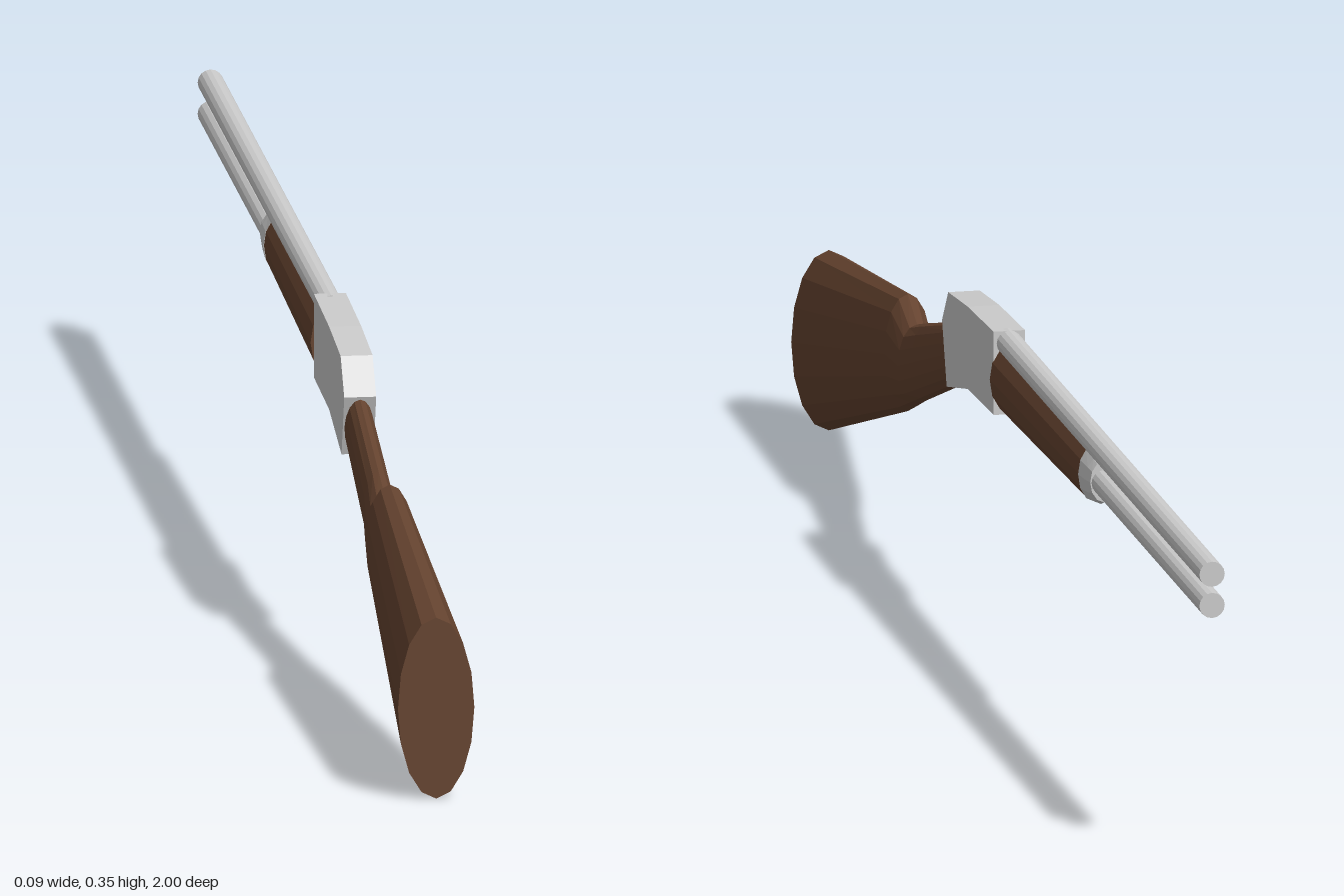
import * as THREE from 'three';

const metal = new THREE.MeshStandardMaterial({ color: 0xcccccc, flatShading: true });
const wood = new THREE.MeshStandardMaterial({ color: 0x65432f, flatShading: true });

// Elliptical loft along z; sections run rear to muzzle as [z, bottom, top, halfWidth]
function loft(sections, sides) {
  const pos = [], idx = [];
  for (const [z, y0, y1, w] of sections) {
    for (let k = 0; k < sides; k++) {
      const a = (k / sides) * Math.PI * 2;
      pos.push(Math.cos(a) * w, (y0 + y1) / 2 + Math.sin(a) * (y1 - y0) / 2, z);
    }
  }
  const last = (sections.length - 1) * sides;
  for (let k = 0; k < sides; k++) {
    const n = (k + 1) % sides;
    for (let o = 0; o < last; o += sides) {
      const a = o + k, b = o + n, c = a + sides, d = b + sides;
      idx.push(a, c, b, b, c, d);
    }
    // End caps as fans
    if (k > 0 && k < sides - 1) idx.push(0, k, n, last, last + n, last + k);
  }
  const g = new THREE.BufferGeometry();
  g.setAttribute('position', new THREE.Float32BufferAttribute(pos, 3));
  g.setIndex(idx);
  g.computeVertexNormals();
  return g;
}

export function createModel() {
  const group = new THREE.Group();
  const add = (name, geometry, material) => {
    const mesh = new THREE.Mesh(geometry, material);
    mesh.name = name;
    group.add(mesh);
  };
  const tube = (name, y, r, z0, z1) => {
    const g = new THREE.CylinderGeometry(r, r, z0 - z1, 16);
    g.rotateX(Math.PI / 2).translate(0, y, (z0 + z1) / 2);
    add(name, g, metal);
  };

  // Shoulder stock with raised comb and slim wrist
  add('stock', loft([
    [1.0, 0.0, 0.208, 0.043],
    [0.588, 0.126, 0.261, 0.027],
    [0.54, 0.145, 0.238, 0.022],
    [0.49, 0.163, 0.252, 0.0175],
    [0.295, 0.231, 0.303, 0.016],
  ], 16), wood);

  // Flat-sided receiver, profile in (z, y)
  const profile = [
    [0.058, 0.256], [0.193, 0.252], [0.303, 0.227], [0.327, 0.298],
    [0.295, 0.338], [0.193, 0.347], [0.058, 0.352],
  ].map(([z, y]) => new THREE.Vector2(z, y));
  const receiver = new THREE.ExtrudeGeometry(new THREE.Shape(profile), { depth: 0.036, bevelEnabled: false });
  receiver.rotateY(-Math.PI / 2).translate(0.018, 0, 0);
  add('receiver', receiver, metal);

  // Fore-end and its tapered metal cap
  add('foreEnd', loft([[0.06, 0.258, 0.335, 0.022], [-0.385, 0.268, 0.332, 0.018]], 12), wood);
  add('foreEndCap', loft([
    [-0.385, 0.267, 0.332, 0.0185],
    [-0.42, 0.273, 0.33, 0.0175],
    [-0.437, 0.279, 0.327, 0.016],
  ], 12), metal);

  // Barrel above the magazine tube
  tube('barrel', 0.338, 0.0145, 0.07, -1);
  tube('magazineTube', 0.302, 0.0145, 0.06, -1);

  return group;
}
